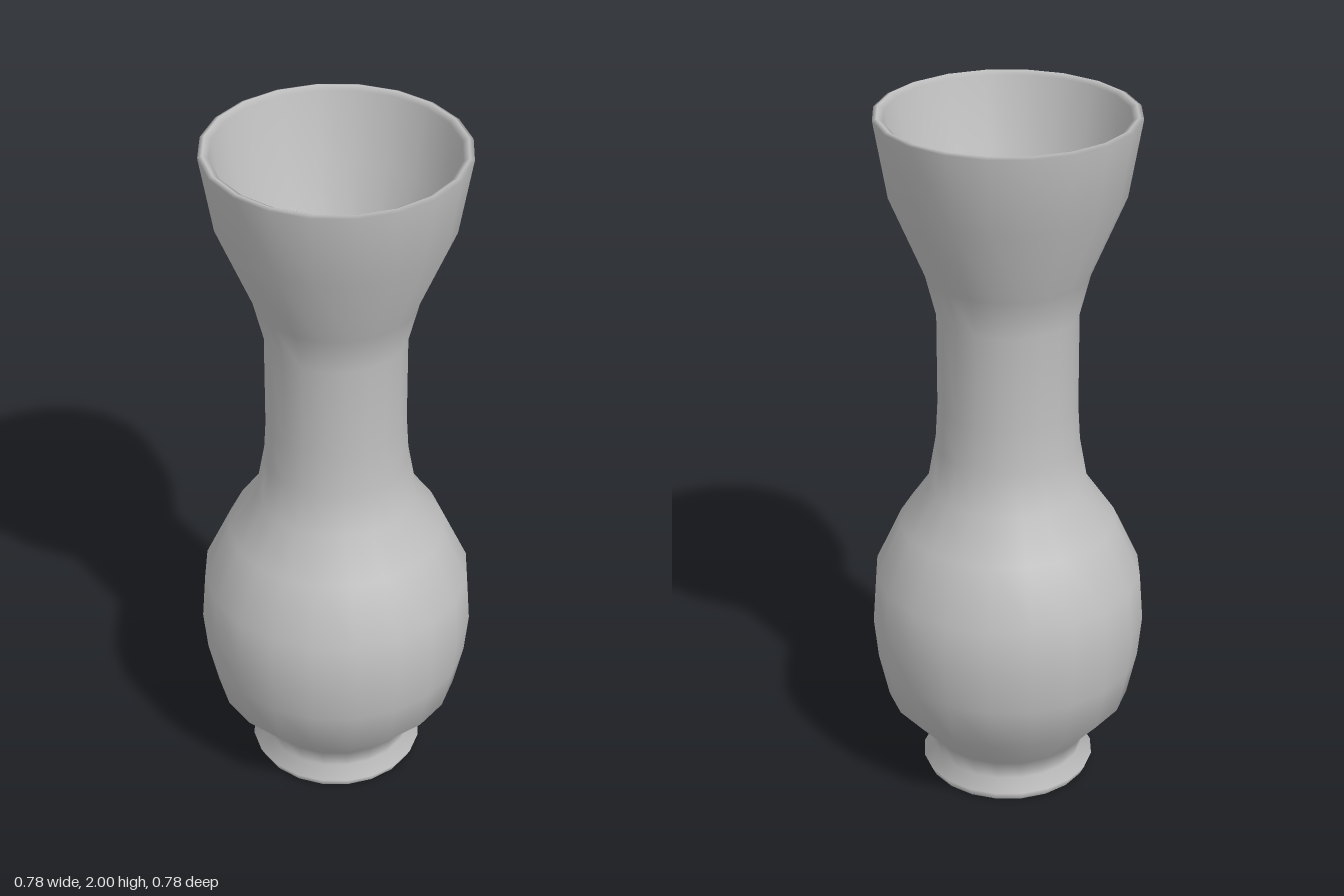
import * as THREE from 'three';

export function createModel() {
  const model = new THREE.Group();
  model.name = 'vase';
  const ceramic = new THREE.MeshStandardMaterial({ color: 0xc0c0c0 });
  ceramic.name = 'grey ceramic';

  // Outer wall from foot to lip: [radius, height]
  const outer = [
    [0.235, 0], [0.248, 0.026], [0.214, 0.058], [0.227, 0.116], [0.347, 0.249],
    [0.376, 0.38], [0.388, 0.5], [0.378, 0.64], [0.305, 0.8], [0.225, 0.915],
    [0.203, 1.04], [0.196, 1.16], [0.196, 1.434], [0.225, 1.55], [0.32, 1.778], [0.357, 1.995],
  ];
  // Inner wall from lip to open foot
  const inner = [
    [0.345, 2], [0.328, 1.99], [0.292, 1.79], [0.196, 1.56], [0.163, 1.44],
    [0.163, 1.16], [0.172, 1.04], [0.196, 0.9], [0.278, 0.785], [0.348, 0.63],
    [0.357, 0.5], [0.346, 0.39], [0.32, 0.27], [0.2, 0.135], [0.184, 0.058],
    [0.213, 0.02], [0.235, 0],
  ];

  // Hollow wall, open through the foot, as one closed profile
  const profile = [...outer, ...inner].map(([r, y]) => new THREE.Vector2(r, y));
  const body = new THREE.Mesh(new THREE.LatheGeometry(profile, 20), ceramic);
  body.name = 'vaseBody';
  model.add(body);
  return model;
}
